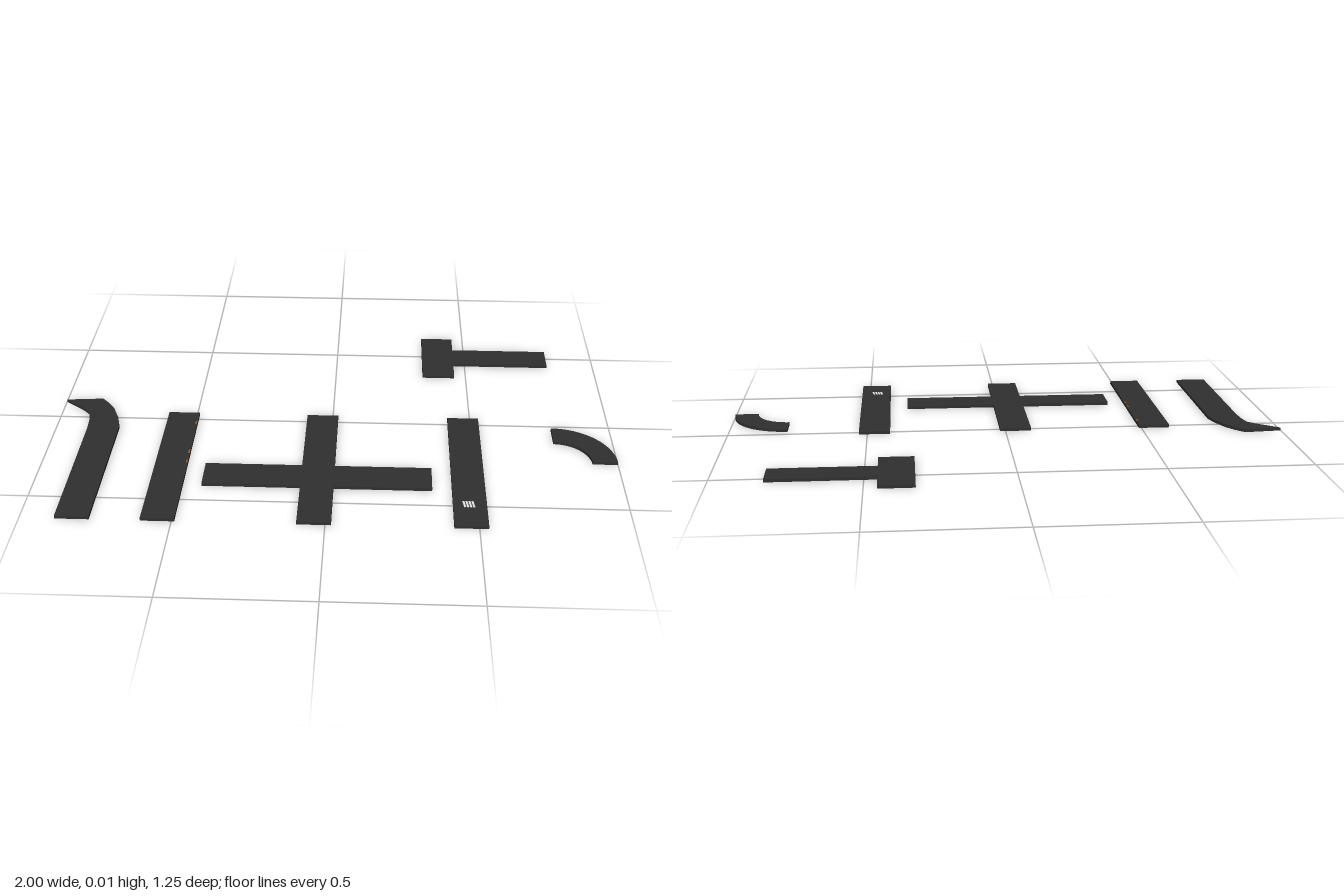
import * as THREE from 'three';

const BASE = 0.002, THICK = 0.011;

export function createModel() {
  const group = new THREE.Group();
  const material = (name, color) => {
    const m = new THREE.MeshStandardMaterial({ color });
    m.name = name;
    return m;
  };
  const asphalt = material('asphalt', 0x303030);
  const greyUnderside = material('greyUnderside', 0x696969);
  const paint = material('whitePaint', 0xe0e0e0);
  const orange = material('orangePaint', 0xa0561c);

  const add = (parent, name, geometry, mat = asphalt) => {
    const mesh = new THREE.Mesh(geometry, mat);
    mesh.name = name;
    parent.add(mesh);
    return mesh;
  };

  // Straight slab between two corners, with its own colour underneath
  const slab = (parent, name, x0, x1, z0, z1, underside = asphalt) => {
    const sides = [asphalt, asphalt, asphalt, underside, asphalt, asphalt];
    add(parent, name, new THREE.BoxGeometry(x1 - x0, THICK, z1 - z0), sides)
      .position.set((x0 + x1) / 2, BASE + THICK / 2, (z0 + z1) / 2);
  };

  // Curved slab from a plan outline drawn with shape y = -z
  const plate = (parent, name, shape) => {
    const g = new THREE.ExtrudeGeometry(shape, { depth: THICK, bevelEnabled: false, curveSegments: 12 });
    g.rotateX(-Math.PI / 2);
    g.translate(0, BASE, 0);
    add(parent, name, g);
  };

  const part = (name) => {
    const p = new THREE.Group();
    p.name = name;
    group.add(p);
    return p;
  };

  // Road with a bent, tapering end
  const outline = [
    [-0.883, 0.623], [-0.77, 0.623], [-0.77, 0.07], [-0.783, 0.02], [-0.81, -0.045],
    [-0.835, -0.08], [-0.864, -0.112], [-0.998, -0.1], [-0.92, -0.04], [-0.895, -0.013],
    [-0.887, 0.03], [-0.883, 0.09],
  ];
  plate(group, 'bentRoad', new THREE.Shape(outline.map(([x, z]) => new THREE.Vector2(x, -z))));

  // Two plain straight roads
  slab(group, 'rightStraightRoad', -0.602, -0.49, -0.027, 0.623);
  slab(group, 'leftStraightRoad', 0.418, 0.53, -0.027, 0.623);

  // Crossroads
  const cross = part('crossroads');
  slab(cross, 'crossStreet', -0.427, 0.352, 0.299, 0.42);
  slab(cross, 'backArm', -0.093, 0.02, -0.027, 0.299, greyUnderside);
  slab(cross, 'frontArm', -0.093, 0.02, 0.42, 0.623, greyUnderside);

  // T junction
  const tee = part('teeJunction');
  slab(tee, 'backHead', 0.334, 0.456, -0.627, -0.537);
  slab(tee, 'frontHead', 0.334, 0.456, -0.537, -0.334, greyUnderside);
  slab(tee, 'stem', 0.456, 0.82, -0.537, -0.428, greyUnderside);

  // Quarter-circle bend
  const bend = new THREE.Shape();
  bend.absarc(0.789, -0.238, 0.21, 0, Math.PI / 2, false);
  bend.absarc(0.789, -0.238, 0.123, Math.PI / 2, 0, true);
  plate(group, 'quarterBend', bend);

  // Small white strokes on both faces of the left straight road
  const marks = part('paintMarks');
  const stroke = new THREE.BoxGeometry(0.007, 0.001, 0.034);
  for (const y of [BASE - 0.0005, BASE + THICK + 0.0005]) {
    for (let i = 0; i < 4; i++) {
      const mesh = add(marks, 'paintStroke', stroke, paint);
      mesh.position.set(0.455 + i * 0.01, y, 0.505);
      mesh.rotation.y = 0.15;
    }
  }

  // Faint orange flecks along the edge of the right straight road
  for (const z of [0.04, 0.23, 0.29]) {
    add(marks, 'edgeFleck', new THREE.BoxGeometry(0.006, 0.001, 0.02), orange)
      .position.set(-0.494, BASE + THICK, z);
  }
  return group;
}
